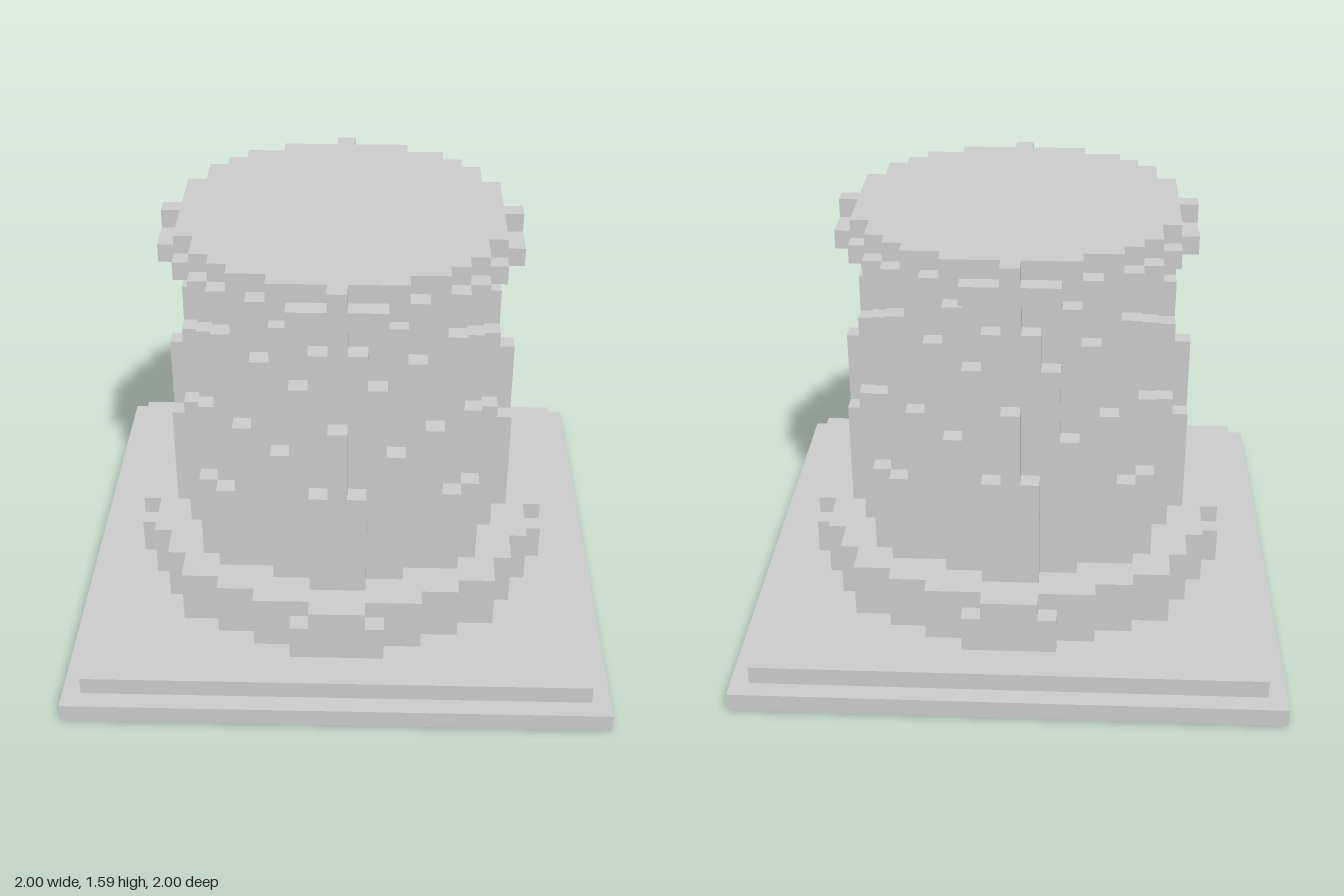
import * as THREE from 'three';

const U = 2 / 29; // size of one block

// Each part spans layers [from, to). All blocks up to 'core' from the axis are solid.
// rows: distance from the axis -> steps [top layer, half-width of the row].
const PARTS = [
  { name: 'baseSlab', from: 0, to: 1, core: 14, rows: {} },
  { name: 'baseStep', from: 1, to: 2, core: 13, rows: {} },
  { name: 'plinth', from: 2, to: 5, core: 7, rows: {
    8: [[5, 8]], 9: [[5, 6]], 10: [[5, 4]], 11: [[4, 2], [5, 1]] } },
  { name: 'shaft', from: 5, to: 21, core: 5, rows: {
    6: [[19, 6], [21, 5]],
    7: [[10, 6], [14, 5], [18, 4], [20, 3], [21, 2]],
    8: [[13, 3], [17, 2], [19, 1], [21, 0]],
    9: [[11, 1], [15, 0]] } },
  { name: 'cap', from: 21, to: 23, core: 5, rows: {
    6: [[23, 6]], 7: [[22, 6], [23, 5]], 8: [[22, 4], [23, 3]], 9: [[22, 2], [23, 0]] } },
];

// Eightfold symmetric test for a solid block
function filled(x, y, z) {
  const part = PARTS.find(p => y >= p.from && y < p.to);
  if (!part) return false;
  const far = Math.max(Math.abs(x), Math.abs(z));
  const near = Math.min(Math.abs(x), Math.abs(z));
  if (far <= part.core) return true;
  const step = (part.rows[far] || []).find(([top]) => y < top);
  return !!step && near <= step[1];
}

// Outward direction and the two in-plane axes (u x v = n) of each block side
const SIDES = [
  [[1, 0, 0], [0, 1, 0], [0, 0, 1]],
  [[-1, 0, 0], [0, 0, 1], [0, 1, 0]],
  [[0, 1, 0], [0, 0, 1], [1, 0, 0]],
  [[0, -1, 0], [1, 0, 0], [0, 0, 1]],
  [[0, 0, 1], [1, 0, 0], [0, 1, 0]],
  [[0, 0, -1], [0, 1, 0], [1, 0, 0]],
];
const CORNERS = [[-0.5, -0.5], [0.5, -0.5], [0.5, 0.5], [-0.5, 0.5]];

// Hollow skin of one part: only exposed sides, open underneath
function skin(part) {
  const positions = [], normals = [], index = [];
  const R = 14;
  for (let y = part.from; y < part.to; y++)
    for (let x = -R; x <= R; x++)
      for (let z = -R; z <= R; z++) {
        if (!filled(x, y, z)) continue;
        const centre = [x, y + 0.5, z];
        for (const [n, u, v] of SIDES) {
          if (y + n[1] < 0 || filled(x + n[0], y + n[1], z + n[2])) continue;
          const first = positions.length / 3;
          for (const [a, b] of CORNERS) {
            positions.push(...centre.map((c, i) => U * (c + n[i] / 2 + a * u[i] + b * v[i])));
            normals.push(...n);
          }
          index.push(first, first + 1, first + 2, first, first + 2, first + 3);
        }
      }
  const geometry = new THREE.BufferGeometry();
  geometry.setAttribute('position', new THREE.Float32BufferAttribute(positions, 3));
  geometry.setAttribute('normal', new THREE.Float32BufferAttribute(normals, 3));
  geometry.setIndex(index);
  return geometry;
}

export function createModel() {
  const group = new THREE.Group();
  group.name = 'blockPedestal';
  const material = new THREE.MeshStandardMaterial({ color: 0xcccccc, side: THREE.DoubleSide });
  for (const part of PARTS) {
    const mesh = new THREE.Mesh(skin(part), material);
    mesh.name = part.name;
    group.add(mesh);
  }
  return group;
}
